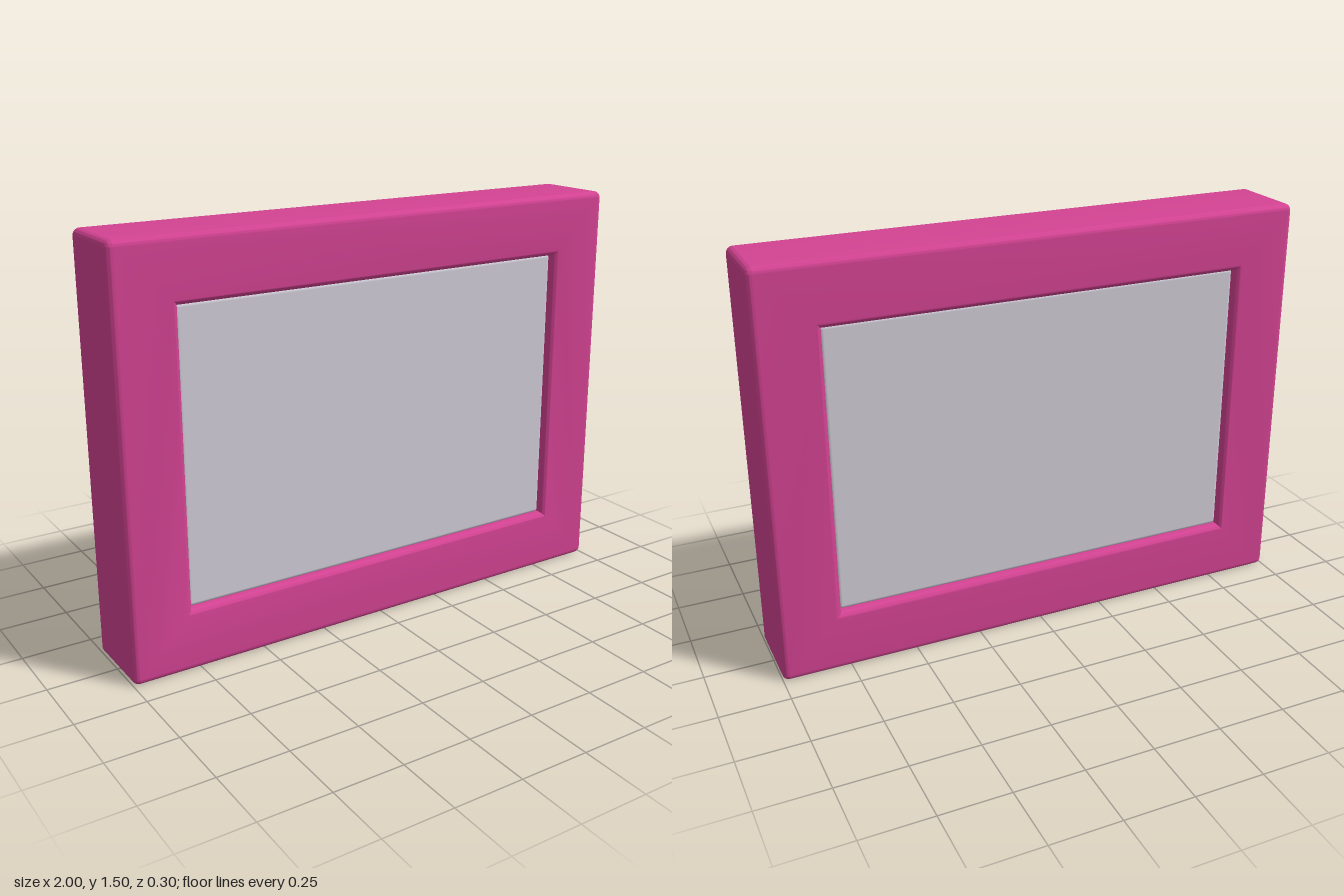
import * as THREE from 'three';
import { toCreasedNormals } from 'three/addons/utils/BufferGeometryUtils.js';
import { RoundedBoxGeometry } from 'three/addons/geometries/RoundedBoxGeometry.js';

const WIDTH = 2, HEIGHT = 1.5, DEPTH = 0.3;
const OPEN_W = 1.55, OPEN_H = 1.05; // opening at its narrowest
const BEVEL = 0.022, CORNER = 0.025;

const pink = new THREE.MeshStandardMaterial({ color: 0xd44393 });
pink.name = 'pink frame';
const grey = new THREE.MeshStandardMaterial({ color: 0xd0ccd7 });
grey.name = 'pale grey pane';

// Outer outline with softly rounded corners
function roundedRect(w, h, r) {
  const x = w / 2, y = h / 2, s = new THREE.Shape();
  s.absarc(x - r, y - r, r, 0, Math.PI / 2);
  s.absarc(-x + r, y - r, r, Math.PI / 2, Math.PI);
  s.absarc(-x + r, -y + r, r, Math.PI, Math.PI * 1.5);
  s.absarc(x - r, -y + r, r, Math.PI * 1.5, Math.PI * 2);
  s.closePath();
  return s;
}

// Sharp-cornered opening, so its bevels meet in mitres
function opening(w, h) {
  const x = w / 2, y = h / 2;
  return new THREE.Path([
    new THREE.Vector2(-x, -y), new THREE.Vector2(-x, y),
    new THREE.Vector2(x, y), new THREE.Vector2(x, -y),
  ]);
}

export function createModel() {
  const model = new THREE.Group();
  model.name = 'framedWindow';

  // Frame, rounded on the outer and inner edges of both faces
  const outline = roundedRect(WIDTH, HEIGHT, CORNER);
  outline.holes.push(opening(OPEN_W, OPEN_H));
  const frameGeometry = new THREE.ExtrudeGeometry(outline, {
    depth: DEPTH - 2 * BEVEL,
    bevelEnabled: true,
    bevelThickness: BEVEL,
    bevelSize: BEVEL,
    bevelOffset: -BEVEL,
    bevelSegments: 8,
    curveSegments: 6,
  });
  frameGeometry.translate(0, HEIGHT / 2, -DEPTH / 2 + BEVEL);
  const frame = new THREE.Mesh(toCreasedNormals(frameGeometry, 0.5), pink);
  frame.name = 'frame';
  model.add(frame);

  // Pane, set slightly back from both faces
  const pane = new THREE.Mesh(
    new RoundedBoxGeometry(OPEN_W + 0.004, OPEN_H + 0.004, 0.24, 4, 0.014), grey);
  pane.name = 'pane';
  pane.position.y = HEIGHT / 2;
  model.add(pane);

  return model;
}
